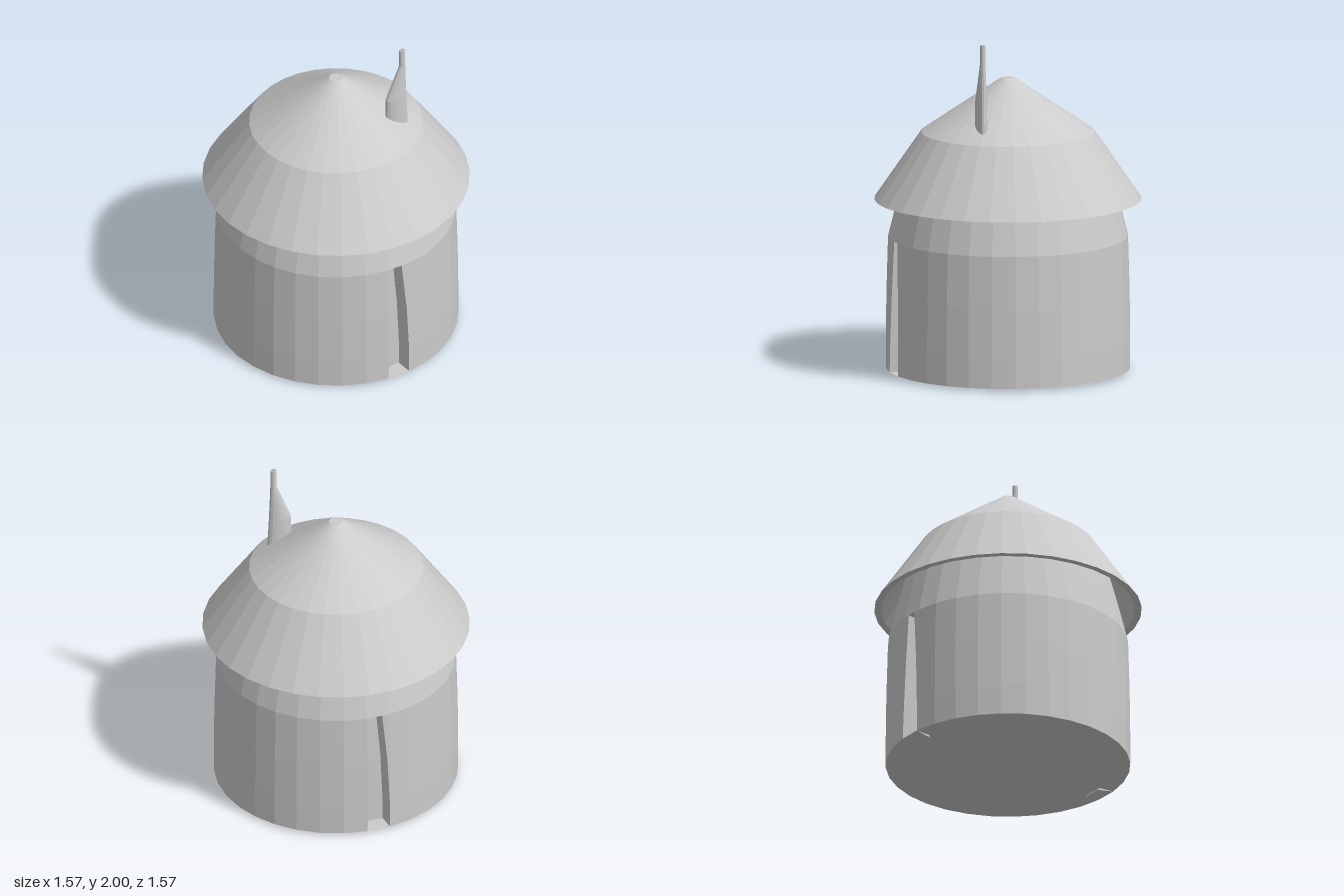
import * as THREE from 'three';

const SIDES = 32;
const FLOOR = 0.015;

const material = (options = {}) => new THREE.MeshStandardMaterial({ color: 0xcccccc, ...options });

function named(name, geometry, mat) {
  const mesh = new THREE.Mesh(geometry, mat);
  mesh.name = name;
  return mesh;
}

// Collects four-cornered faces, corners counter-clockwise from outside
function quadBuilder() {
  const pos = [];
  return {
    quad(a, b, c, d) {
      for (const p of [a, b, c, a, c, d]) pos.push(p.x, p.y, p.z);
    },
    geometry() {
      const g = new THREE.BufferGeometry();
      g.setAttribute('position', new THREE.Float32BufferAttribute(pos, 3));
      g.computeVertexNormals();
      return g;
    },
  };
}

function lathe(profile) {
  return new THREE.LatheGeometry(profile.map(([r, y]) => new THREE.Vector2(r, y)), SIDES);
}

// Wall rows: radius, height, and the door's left and right edge across its facet
const ROWS = [
  { r: 0.718, y: FLOOR, l: 0, h: 1 },
  { r: 0.718, y: 0.2, l: 0.075, h: 0.99 },
  { r: 0.714, y: 0.48, l: 0.18, h: 0.9 },
  { r: 0.705, y: 0.8, l: 0.3, h: 0.69 },
  { r: 0.65, y: 1.02 },
  { r: 0.57, y: 1.32 },
];
const DOOR_ROWS = 3;
const DEPTH = 0.86; // recess shrinks towards the axis

// Point on facet k, t = 0..1 across it
function onWall(k, t, row) {
  const corner = (i) => {
    const a = (i / SIDES) * Math.PI * 2;
    return new THREE.Vector3(row.r * Math.sin(a), row.y, row.r * Math.cos(a));
  };
  return corner(k).lerp(corner(k + 1), t);
}

function inset(p) {
  const y = p.y === FLOOR ? 0 : p.y - 0.012;
  return new THREE.Vector3(p.x * DEPTH, y, p.z * DEPTH);
}

function buildWall() {
  const b = quadBuilder();
  for (let k = 0; k < SIDES; k++) {
    const isDoor = k % (SIDES / 2) === 0;
    for (let j = 0; j < ROWS.length - 1; j++) {
      const lo = ROWS[j], hi = ROWS[j + 1];
      const strip = (a0, a1, b0, b1) =>
        b.quad(onWall(k, a0, lo), onWall(k, b0, lo), onWall(k, b1, hi), onWall(k, a1, hi));
      if (isDoor && j < DOOR_ROWS) {
        strip(0, 0, lo.l, hi.l);
        strip(lo.h, hi.h, 1, 1);
      } else strip(0, 0, 1, 1);
    }
  }
  return b.geometry();
}

// Recessed doorway in facet k: back panel, jambs, lintel and sloping sill
function buildDoorway(k) {
  const b = quadBuilder();
  const left = ROWS.slice(0, DOOR_ROWS + 1).map((row) => onWall(k, row.l, row));
  const right = ROWS.slice(0, DOOR_ROWS + 1).map((row) => onWall(k, row.h, row));
  const L = left.map(inset), R = right.map(inset);
  for (let j = 0; j < DOOR_ROWS; j++) {
    b.quad(L[j], R[j], R[j + 1], L[j + 1]);
    b.quad(left[j], L[j], L[j + 1], left[j + 1]);
    b.quad(R[j], right[j], right[j + 1], R[j + 1]);
  }
  b.quad(left[0], right[0], R[0], L[0]);
  b.quad(L[DOOR_ROWS], R[DOOR_ROWS], right[DOOR_ROWS], left[DOOR_ROWS]);
  return b.geometry();
}

// Chimney: oval sections from the flared foot up the pipe and down its bore
function buildChimney() {
  const n = 16, z = 0.237;
  const sections = [ // y, centre x, half width in x, half width in z
    [1.4, 0.281, 0.076, 0.035],
    [1.66, 0.277, 0.067, 0.031],
    [1.89, 0.317, 0.018, 0.016],
    [2, 0.317, 0.018, 0.015],
    [2, 0.317, 0.009, 0.008],
    [1.9, 0.317, 0.009, 0.008],
    [1.9, 0.317, 0, 0],
  ];
  const at = ([y, cx, rx, rz], i) => {
    const a = (i / n) * Math.PI * 2;
    return new THREE.Vector3(cx + rx * Math.sin(a), y, z + rz * Math.cos(a));
  };
  const b = quadBuilder();
  for (let j = 0; j < sections.length - 1; j++) {
    const lo = sections[j], hi = sections[j + 1];
    for (let i = 0; i < n; i++) b.quad(at(lo, i), at(lo, i + 1), at(hi, i + 1), at(hi, i));
  }
  return b.geometry();
}

export function createModel() {
  const hut = new THREE.Group();
  hut.name = 'roundHut';
  const flat = material({ flatShading: true });
  const thin = material({ flatShading: true, side: THREE.DoubleSide });

  hut.add(named('wall', buildWall(), flat));
  hut.add(named('frontDoorway', buildDoorway(0), thin));
  hut.add(named('backDoorway', buildDoorway(SIDES / 2), thin));

  // Floor disc facing down
  hut.add(named('floor', lathe([[0, FLOOR], [0.718, FLOOR]]), thin));

  // Two-pitch roof with a hollow, overhanging eave
  const roof = lathe([
    [0.5, 1.38], [0.745, 1.02], [0.785, 1.02],
    [0.51, 1.42], [0.04, 1.74], [0, 1.74],
  ]);
  hut.add(named('roof', roof, flat));

  hut.add(named('chimney', buildChimney(), flat));
  return hut;
}
